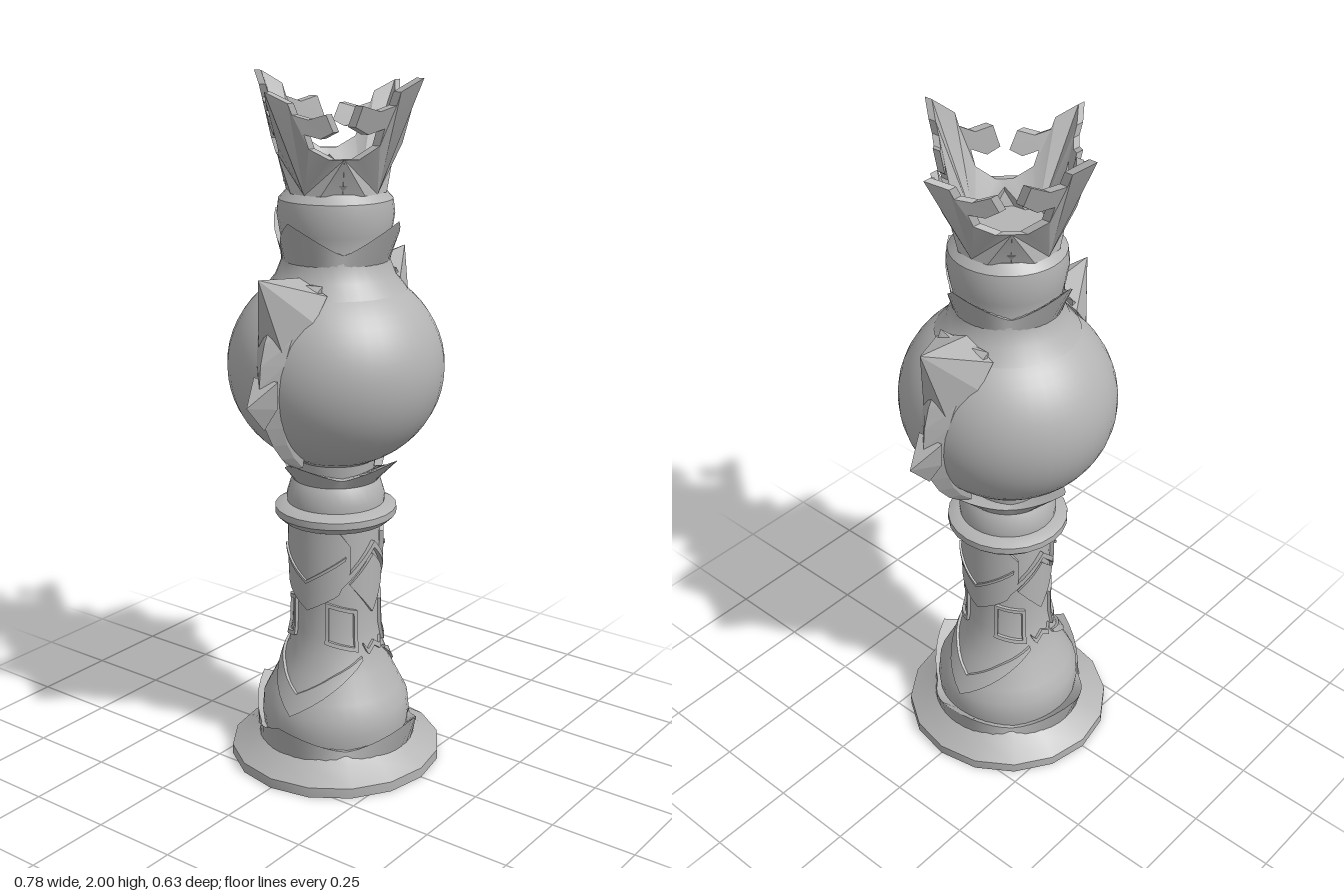
import * as THREE from 'three';
import { toCreasedNormals } from 'three/addons/utils/BufferGeometryUtils.js';
import { ConvexGeometry } from 'three/addons/geometries/ConvexGeometry.js';

const stone = new THREE.MeshStandardMaterial({ color: 0xb4b4b4 });
stone.name = 'grey stone';
stone.side = THREE.DoubleSide;

const lerp = THREE.MathUtils.lerp;

// piecewise linear lookup in [[key, value], ...]
function lookup(table, k) {
  for (let i = 1; i < table.length; i++) {
    const [k0, v0] = table[i - 1], [k1, v1] = table[i];
    if (k <= k1) return lerp(v0, v1, Math.max(0, (k - k0) / (k1 - k0)));
  }
  return table[table.length - 1][1];
}

function add(parent, name, geometry) {
  const mesh = new THREE.Mesh(geometry, stone);
  mesh.name = name;
  parent.add(mesh);
  return mesh;
}

function lathe(profile, segments, crease = 0.6) {
  const pts = profile.map(([r, y]) => new THREE.Vector2(r, y));
  return toCreasedNormals(new THREE.LatheGeometry(pts, segments), crease);
}

// surface through columns of [angle, radius, y] points
function grid(columns, crease = 0.5) {
  const rows = columns[0].length, pos = [], index = [];
  for (const column of columns)
    for (const [a, r, y] of column) pos.push(r * Math.sin(a), y, r * Math.cos(a));
  for (let i = 0; i < columns.length - 1; i++)
    for (let j = 0; j < rows - 1; j++) {
      const p = i * rows + j, q = p + rows;
      index.push(p, q, q + 1, p, q + 1, p + 1);
    }
  const g = new THREE.BufferGeometry();
  g.setAttribute('position', new THREE.Float32BufferAttribute(pos, 3));
  g.setIndex(index);
  return toCreasedNormals(g, crease);
}

// ring of four pointed leaves: root, valley and peak are [radius, y]
function leafCollar(root, valley, peak) {
  const columns = [];
  for (let i = 0; i <= 48; i++) {
    const w = Math.abs(1 - 2 * ((i / 12) % 1)) ** 1.3;
    const a = (i / 48) * Math.PI * 2;
    columns.push([
      [a, root[0], root[1]],
      [a, lerp(valley[0], peak[0], w), lerp(valley[1], peak[1], w)],
      [a, root[0] - 0.03, valley[1]],
    ]);
  }
  return grid(columns);
}

// column outline as [y, radius]
const column = [
  [0.1, 0.215], [0.14, 0.22], [0.19, 0.215], [0.23, 0.195], [0.3, 0.16],
  [0.36, 0.138], [0.42, 0.127], [0.5, 0.125], [0.75, 0.128],
];

// raised relief wrapped on the column; low and high edges are [angle, y] tables
function relief(centre, low, high, raise) {
  const a0 = low[0][0], a1 = low[low.length - 1][0], n = 16, columns = [];
  const make = (a, lift) => {
    const y0 = lookup(low, a), y1 = lookup(high, a), col = [];
    for (let j = 0; j <= 6; j++) {
      const y = lerp(y0, y1, j / 6), r = lookup(column, y);
      if (j === 0) col.push([centre + a, r - 0.006, y]);
      col.push([centre + a, r + lift, y]);
      if (j === 6) col.push([centre + a, r - 0.006, y]);
    }
    return col;
  };
  columns.push(make(a0, -0.006));
  for (let i = 0; i <= n; i++) columns.push(make(lerp(a0, a1, i / n), raise));
  columns.push(make(a1, -0.006));
  return grid(columns);
}

// half of a crown point with its share of the band, bent onto a flared diamond
function crownHalf(reach, tip) {
  const shape = new THREE.Shape([
    [0, 1.69], [0.05, 1.69], [0.092, 1.69], [0.113, 1.79], [0.085, 1.79], [0.052, 1.825],
    [0.05, 1.87], [0.078, 1.855], [0.105, 1.875], [0.1, 1.93], [0.065, 1.915],
    [0.038, 1.93], [0.036, 1.965], [0, 2.0],
  ].map(([x, y]) => new THREE.Vector2(x, y)));
  const g = new THREE.ExtrudeGeometry(shape, { depth: 0.025, bevelEnabled: false });
  const p = g.attributes.position;
  const diagonal = [[1.69, 0.185], [1.79, 0.226], [1.9, 0.258], [2, 0.29]];
  const axis = [[1.69, 0.14], [1.79, 0.19], [1.86, 0.232], [2, 0.29]];
  for (let i = 0; i < p.count; i++) {
    const x = p.getX(i), y = p.getY(i);
    const z = Math.min(lookup(diagonal, y) - x, lookup(axis, y)) - 0.025 + p.getZ(i);
    const up = Math.max(0, (y - 1.79) / 0.21);
    p.setXYZ(i, x, y + up * (tip - 2), z + up * (reach - 0.29));
  }
  return toCreasedNormals(g, 0.3);
}

const hull = (pts) => new ConvexGeometry(pts.map((q) => new THREE.Vector3(...q)));

export function createModel() {
  const model = new THREE.Group();
  model.name = 'crownedPiece';

  // foot and column
  add(model, 'foot', lathe([[0, 0], [0.313, 0], [0.313, 0.03], [0.255, 0.065], [0.215, 0.1], [0, 0.1]], 16, 0.5));
  add(model, 'column', lathe([...column.map(([y, r]) => [r, y]), [0.128, 0.78]], 32));
  add(model, 'footLeaves', leafCollar([0.235, 0.06], [0.225, 0.1], [0.278, 0.178]));

  // ring and throat under the globe
  add(model, 'ring', lathe([[0.12, 0.74], [0.155, 0.745], [0.176, 0.765], [0.176, 0.785], [0.145, 0.8], [0.11, 0.8]], 24, 0.5));
  add(model, 'throat', lathe([[0.14, 0.79], [0.142, 0.82], [0.13, 0.86], [0.11, 0.89], [0.115, 0.93], [0.15, 0.96]], 32));
  add(model, 'throatLeaves', leafCollar([0.125, 0.87], [0.135, 0.895], [0.213, 0.955]));

  // reliefs on the column
  for (const turn of [0, Math.PI]) {
    const face = new THREE.Group();
    face.name = turn ? 'backReliefs' : 'frontReliefs';
    face.rotation.y = turn;
    model.add(face);
    add(face, 'diamond', relief(0, [[-0.62, 0.58], [0, 0.48], [0.62, 0.58]],
      [[-0.62, 0.58], [0, 0.66], [0.62, 0.58]], 0.008));
    add(face, 'chevron', relief(0, [[-1.0, 0.545], [0, 0.68], [1.0, 0.545]],
      [[-1.0, 0.565], [0, 0.7], [1.0, 0.565]], 0.012));
    add(face, 'toothedMark', relief(0, [[-0.3, 0.385], [-0.2, 0.355], [0, 0.375], [0.2, 0.355], [0.3, 0.385]],
      [[-0.3, 0.392], [-0.2, 0.372], [0, 0.392], [0.2, 0.372], [0.3, 0.392]], 0.007));
    for (const s of [-1, 1]) {
      // slanted window: frame bars left, right, bottom, top
      const c = s * 0.8, slope = s * 0.04;
      const bar = (a, b, lo, hi) => add(face, 'windowFrame', relief(c,
        [[a, lo + slope * a], [b, lo + slope * b]], [[a, hi + slope * a], [b, hi + slope * b]], 0.009));
      bar(-0.36, -0.28, 0.395, 0.5);
      bar(0.28, 0.36, 0.395, 0.5);
      bar(-0.36, 0.36, 0.385, 0.397);
      bar(-0.36, 0.36, 0.5, 0.512);
    }
    // shield and sash on each flank
    const side = Math.PI / 2;
    add(face, 'shield', relief(side, [[-0.95, 0.62], [-0.7, 0.55], [0, 0.495], [0.7, 0.55], [0.95, 0.62]],
      [[-0.95, 0.7], [-0.7, 0.745], [0, 0.745], [0.7, 0.745], [0.95, 0.7]], 0.012));
    add(face, 'shieldStripe', relief(side, [[-0.85, 0.66], [0, 0.58], [0.85, 0.66]],
      [[-0.85, 0.67], [0, 0.59], [0.85, 0.67]], 0.018));
    add(face, 'sash', relief(side, [[-1.2, 0.345], [-0.6, 0.27], [0, 0.19], [0.6, 0.27], [1.2, 0.345]],
      [[-1.2, 0.355], [-0.6, 0.31], [0, 0.25], [0.6, 0.31], [1.2, 0.355]], 0.008));
  }

  // globe
  const globe = add(model, 'globe', new THREE.SphereGeometry(0.31, 40, 28));
  globe.position.y = 1.2;
  globe.scale.set(0.97, 0.93, 1);

  // rims and thorns on both flanks of the globe
  for (const s of [-1, 1]) {
    const flank = new THREE.Group();
    flank.name = s > 0 ? 'leftFlank' : 'rightFlank';
    flank.rotation.y = s > 0 ? 0 : Math.PI;
    model.add(flank);
    const rim = [];
    for (let i = 0; i <= 10; i++) {
      const t = lerp(-0.95, 0.95, i / 10), w = lerp(0.015, 0.085, (i / 10) ** 1.5);
      const c = Math.cos(t), y = 1.2 + Math.sin(t) * 0.32;
      rim.push([0.338 * c, y, 0], [0.295 * c, y, w], [0.295 * c, y, -w]);
    }
    add(flank, 'rim', hull(rim));
    add(flank, 'upperThorn', hull([[0.337, 1.493, 0], [0.16, 1.472, 0], [0.17, 1.435, 0.1], [0.17, 1.435, -0.1],
      [0.22, 1.37, 0.095], [0.22, 1.37, -0.095], [0.28, 1.25, 0.05], [0.28, 1.25, -0.05], [0.295, 1.34, 0]]));
    add(flank, 'lowerThorn', hull([[0.392, 1.158, 0], [0.31, 1.22, 0.042], [0.31, 1.22, -0.042],
      [0.3, 1.14, 0.03], [0.3, 1.14, -0.03], [0.32, 1.08, 0]]));
  }

  // neck with leaves
  add(model, 'neck', lathe([[0.2, 1.42], [0.168, 1.46], [0.152, 1.5], [0.146, 1.54], [0.155, 1.58], [0.163, 1.63],
    [0.158, 1.67], [0.135, 1.695], [0, 1.7]], 32));
  add(model, 'neckLeaves', leafCollar([0.15, 1.5], [0.15, 1.535], [0.212, 1.625]));

  // crown of four points, each made of two mirrored halves
  const crown = new THREE.Group();
  crown.name = 'crown';
  model.add(crown);
  const tall = crownHalf(0.284, 2.0), wide = crownHalf(0.302, 1.97);
  for (let i = 0; i < 4; i++) {
    const point = new THREE.Group();
    point.name = 'crownPoint';
    point.rotation.y = (i * Math.PI) / 2;
    crown.add(point);
    for (const s of [-1, 1]) add(point, 'crownHalf', i % 2 ? wide : tall).scale.x = s;
  }
  add(crown, 'crownFloor', new THREE.CylinderGeometry(0.145, 0.125, 0.03, 8)).position.y = 1.705;

  return model;
}
